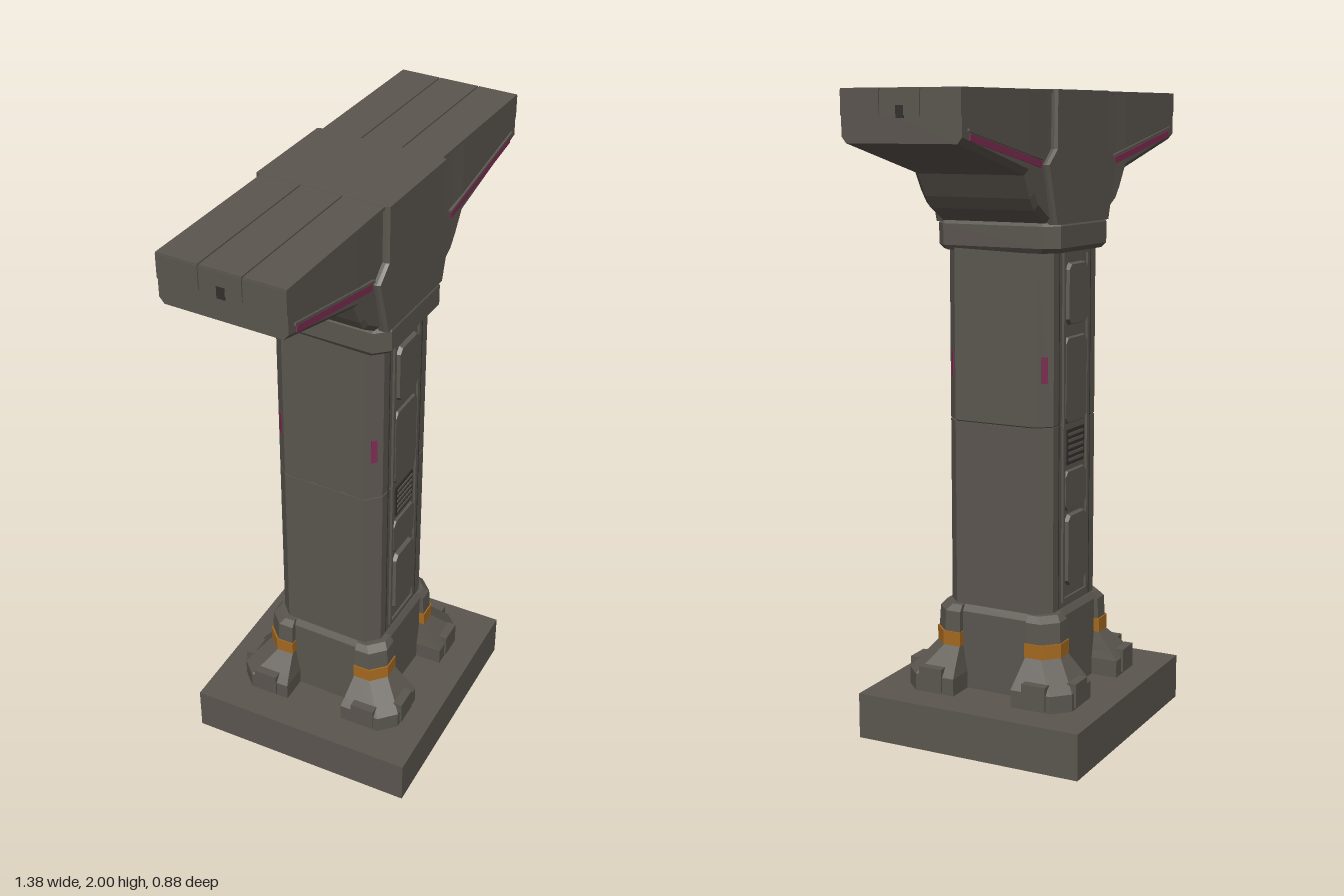
import * as THREE from 'three';

const mat = (name, color) => {
  const m = new THREE.MeshStandardMaterial({ color });
  m.name = name;
  return m;
};

// Closed flat-shaded solid through rings of [x, y, z] points
function loft(rings) {
  const n = rings[0].length, tris = [];
  for (let k = 0; k < rings.length - 1; k++) {
    for (let i = 0; i < n; i++) {
      const j = (i + 1) % n, a = rings[k], b = rings[k + 1];
      tris.push([a[i], a[j], b[j]], [a[i], b[j], b[i]]);
    }
  }
  const first = rings[0], last = rings[rings.length - 1];
  for (let i = 1; i < n - 1; i++) {
    tris.push([first[0], first[i + 1], first[i]], [last[0], last[i], last[i + 1]]);
  }
  // turn the faces outward if the rings run the other way
  let volume = 0;
  const V = p => new THREE.Vector3(...p);
  for (const [a, b, c] of tris) volume += V(a).dot(V(b).cross(V(c)));
  const pos = tris.flatMap(([a, b, c]) => (volume < 0 ? [a, c, b] : [a, b, c]).flat());
  const g = new THREE.BufferGeometry();
  g.setAttribute('position', new THREE.Float32BufferAttribute(pos, 3));
  g.computeVertexNormals();
  return g;
}

// Rectangle with cut corners at height y
const oct = (hx, hz, c, y) => [
  [hx, y, hz - c], [hx - c, y, hz], [c - hx, y, hz], [-hx, y, hz - c],
  [-hx, y, c - hz], [c - hx, y, -hz], [hx - c, y, -hz], [hx, y, c - hz],
];

// Corner block outline in the +x +z quadrant, from i out to r
const corner = (i, r, c, y) => [[i, y, i], [r, y, i], [r, y, r - c], [r - c, y, r], [i, y, r]];

export function createModel() {
  const stone = mat('grey stone', 0x5b564f);
  const dark = mat('dark groove', 0x33302c);
  const orange = mat('orange band', 0xa5691f);
  const pink = mat('pink stripe', 0x7d2c52);

  const model = new THREE.Group();
  model.name = 'pillar';
  const group = (name, turn, parent = model) => {
    const g = new THREE.Group();
    g.name = name;
    g.rotation.y = turn;
    parent.add(g);
    return g;
  };
  const add = (parent, name, geo, m, x = 0, y = 0, z = 0) => {
    const mesh = new THREE.Mesh(geo, m);
    mesh.name = name;
    mesh.position.set(x, y, z);
    parent.add(mesh);
    return mesh;
  };
  const box = (parent, name, m, w, h, d, x, y, z) =>
    add(parent, name, new THREE.BoxGeometry(w, h, d), m, x, y, z);

  // Plinth with four corner feet
  const base = group('base', 0.182);
  box(base, 'plinth', stone, 0.787, 0.145, 0.755, 0, 0.0725, 0);
  for (let k = 0; k < 4; k++) {
    const foot = group('foot', k * Math.PI / 2, base);
    add(foot, 'buttress', loft([
      corner(0.1, 0.285, 0.05, 0.14), corner(0.1, 0.285, 0.05, 0.2),
      corner(0.105, 0.265, 0.05, 0.225), corner(0.115, 0.215, 0.045, 0.285),
      corner(0.115, 0.21, 0.045, 0.395), corner(0.115, 0.195, 0.045, 0.415),
    ]), stone);
    add(foot, 'footBand', loft([
      corner(0.113, 0.217, 0.045, 0.285), corner(0.113, 0.217, 0.045, 0.33),
    ]), orange);
    // raised toe plates on the two outer faces
    box(foot, 'toePlate', stone, 0.08, 0.075, 0.03, 0.18, 0.19, 0.276);
    box(foot, 'toePlate', stone, 0.03, 0.075, 0.08, 0.276, 0.19, 0.18);
  }

  // Shaft with a socket, and a narrow seam at mid height
  const column = group('column', 0.155);
  add(column, 'socket', loft([
    oct(0.195, 0.195, 0.04, 0.14), oct(0.195, 0.195, 0.04, 0.395), oct(0.183, 0.183, 0.04, 0.415),
  ]), stone);
  for (const [a, b] of [[0.41, 0.998], [1.002, 1.54]]) {
    add(column, 'shaft', loft([oct(0.18, 0.18, 0.04, a), oct(0.18, 0.18, 0.04, b)]), stone);
  }
  add(column, 'shaftSeam', loft([oct(0.176, 0.176, 0.04, 0.99), oct(0.176, 0.176, 0.04, 1.01)]), dark);

  // Cut-corner panel standing on the front face
  const panel = (parent, w, h, d, y, z) => {
    const x = w / 2, c = 0.02;
    const ring = (s, zz) => [
      [x - s, -h / 2 + c], [x - s, h / 2 - c], [x - c, h / 2 - s], [c - x, h / 2 - s],
      [s - x, h / 2 - c], [s - x, c - h / 2], [c - x, s - h / 2], [x - c, s - h / 2],
    ].map(p => [p[0], p[1], zz]);
    add(parent, 'facePanel', loft([ring(0, 0), ring(0.005, d)]), stone, 0, y, z);
  };

  for (const turn of [0, Math.PI]) {
    const face = group('panelFace', turn, column);
    // frame around the strip of panels
    for (const s of [-1, 1]) {
      box(face, 'frameRail', stone, 0.012, 1.08, 0.012, s * 0.08, 0.98, 0.181);
      box(face, 'seamLine', dark, 0.003, 1.1, 0.002, s * 0.105, 0.97, 0.18);
      const streak = box(face, 'pinkStreak', pink, 0.02, 0.08, 0.004, s * 0.16, 1.175, 0.16);
      streak.rotation.y = s * Math.PI / 4;
    }
    for (const y of [0.44, 1.52]) box(face, 'frameEnd', stone, 0.17, 0.012, 0.012, 0, y, 0.181);
    panel(face, 0.135, 0.19, 0.014, 1.395, 0.179);
    panel(face, 0.15, 0.27, 0.008, 1.13, 0.179);
    panel(face, 0.15, 0.13, 0.008, 0.785, 0.179);
    panel(face, 0.135, 0.23, 0.014, 0.595, 0.179);
    // vent
    box(face, 'ventRecess', dark, 0.115, 0.11, 0.006, 0, 0.922, 0.182);
    for (let i = 0; i < 5; i++) {
      box(face, 'ventSlat', stone, 0.1, 0.009, 0.008, 0, 0.882 + i * 0.02, 0.184);
    }
  }

  // Head: collar, centre block and two arms
  const head = group('head', 0.134);
  add(head, 'collar', loft([
    oct(0.178, 0.2, 0.04, 1.525), oct(0.188, 0.212, 0.04, 1.54),
    oct(0.188, 0.212, 0.04, 1.605), oct(0.175, 0.2, 0.04, 1.63),
  ]), stone);
  const outline = [[-0.17, 1.61], [0.17, 1.61], [0.222, 1.785], [0.17, 1.83], [0.17, 2],
    [-0.17, 2], [-0.17, 1.83], [-0.222, 1.785]];
  const at = (z, s) => outline.map(([x, y]) => [x * s, y, z]);
  add(head, 'centreBlock', loft([at(-0.21, 0.97), at(-0.2, 1), at(0.2, 1), at(0.21, 0.97)]), stone);

  const armRing = (x, bottom, w) => [
    [x, 1.992, w], [x, bottom + 0.018, w], [x, bottom, w - 0.015],
    [x, bottom, 0.015 - w], [x, bottom + 0.018, -w], [x, 1.992, -w],
  ];
  for (const turn of [0, Math.PI]) {
    const arm = group('arm', turn, head);
    add(arm, 'armBeam', loft([
      armRing(0.1, 1.61, 0.19), armRing(0.185, 1.615, 0.19), armRing(0.25, 1.655, 0.192),
      armRing(0.275, 1.69, 0.193), armRing(0.312, 1.758, 0.195), armRing(0.668, 1.85, 0.195),
    ]), stone);
    // three top planks with grooves between
    for (const z of [-0.1315, 0, 0.1315]) {
      box(arm, 'topPlank', stone, 0.51, 0.01, 0.127, 0.415, 1.994, z);
      box(arm, 'endPlate', stone, 0.006, 0.07, 0.127, 0.669, 1.96, z);
    }
    box(arm, 'endNotch', dark, 0.004, 0.035, 0.025, 0.671, 1.935, 0);
    // sloping stripes along the lower edge of both sides
    for (const s of [-1, 1]) {
      const stripe = box(arm, 'pinkStripe', pink, 0.4, 0.02, 0.006, 0.435, 1.828, s * 0.195);
      stripe.rotation.z = 0.2;
      const lip = box(arm, 'stripeLip', stone, 0.42, 0.008, 0.012, 0.435, 1.845, s * 0.195);
      lip.rotation.z = 0.2;
    }
  }
  return model;
}
